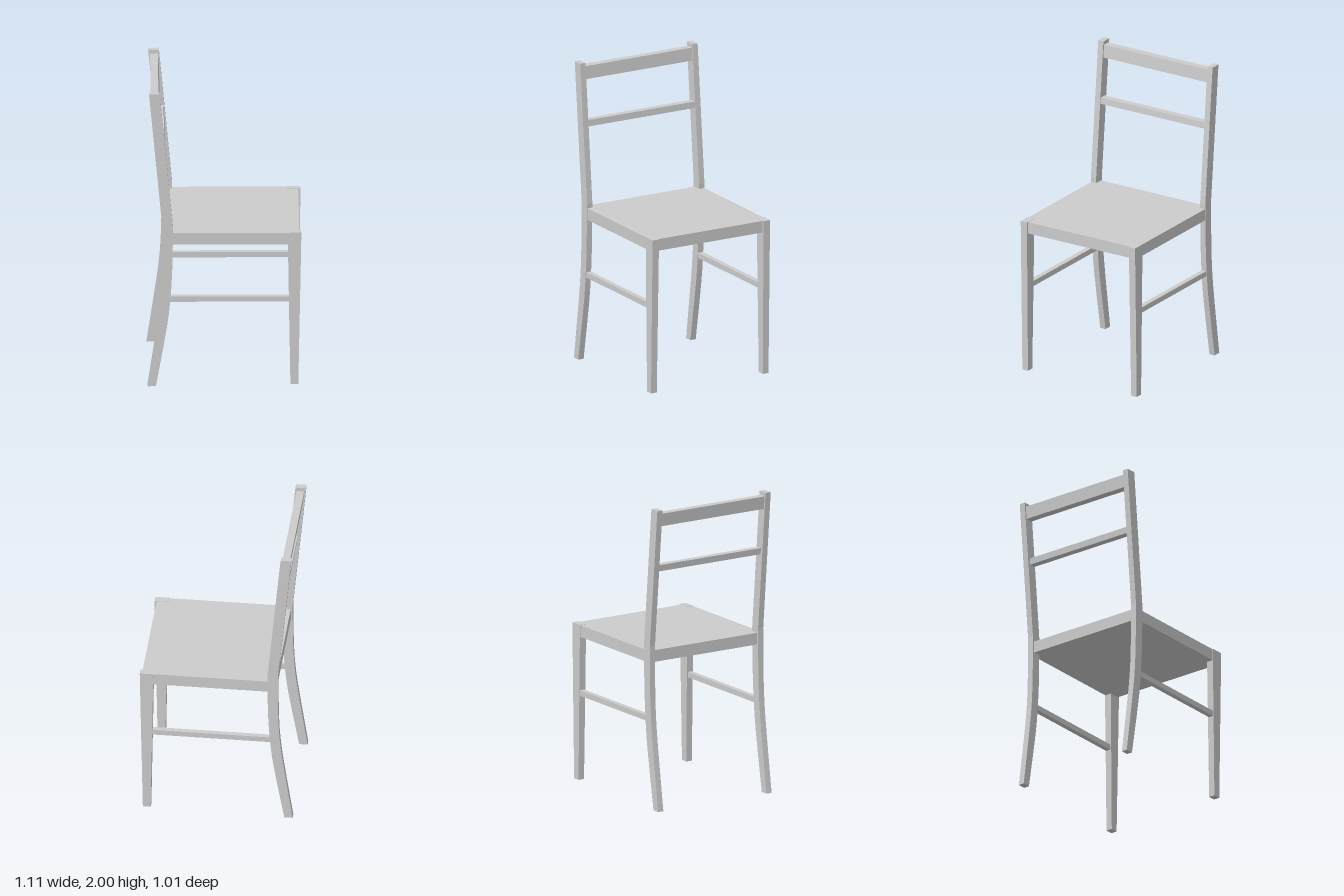
import * as THREE from 'three';

const material = new THREE.MeshStandardMaterial({ color: 0xcccccc, flatShading: true });

// Chair space: +x is the chair's front, z runs across its width.
const HALF = 0.44; // outer half width
const POST = 0.04; // post thickness across the chair

function add(group, name, geometry) {
  const mesh = new THREE.Mesh(geometry, material);
  mesh.name = name;
  group.add(mesh);
  return mesh;
}

// Box given by its limits
function box(x0, x1, y0, y1, z0, z1) {
  return new THREE.BoxGeometry(x1 - x0, y1 - y0, z1 - z0)
    .translate((x0 + x1) / 2, (y0 + y1) / 2, (z0 + z1) / 2);
}

// Rear post: side profile with a curved lower leg and a straight raked top
function postGeometry() {
  const back = [[-0.494, 0], [-0.434, 0.4], [-0.41, 0.6], [-0.4, 0.8], [-0.397, 1.08]];
  const front = [[-0.439, 0], [-0.369, 0.4], [-0.346, 0.6], [-0.334, 0.8], [-0.329, 1.08]];
  const curve = (pts) => new THREE.SplineCurve(pts.map((p) => new THREE.Vector2(...p))).getPoints(12);
  const outline = [
    ...curve(front),
    new THREE.Vector2(-0.415, 2),
    new THREE.Vector2(-0.484, 2),
    ...curve(back).reverse(),
  ];
  return new THREE.ExtrudeGeometry(new THREE.Shape(outline), { depth: POST, bevelEnabled: false });
}

// Front leg: tapers to the foot, outer face stays upright
function frontLegGeometry(side) {
  const geometry = box(0.41, 0.498, 0.015, 1.05, side > 0 ? 0.392 : -HALF, side > 0 ? HALF : -0.392);
  const p = geometry.attributes.position;
  for (let i = 0; i < p.count; i++) {
    if (p.getY(i) > 0.5) continue;
    p.setX(i, p.getX(i) > 0.45 ? 0.478 : 0.427);
    if (Math.abs(p.getZ(i)) < 0.42) p.setZ(i, side * 0.397);
  }
  geometry.computeVertexNormals();
  return geometry;
}

// Back rail that leans with the posts
function railGeometry(y0, y1, thickness, frontX) {
  const rail = box(-thickness, 0, y0, y1, -HALF + POST, HALF - POST);
  const p = rail.attributes.position;
  const mid = (y0 + y1) / 2;
  for (let i = 0; i < p.count; i++) {
    p.setX(i, p.getX(i) + frontX - (p.getY(i) - mid) * 0.094);
  }
  rail.computeVertexNormals();
  return rail;
}

export function createModel() {
  const group = new THREE.Group();
  group.name = 'chair';

  add(group, 'seat', box(-0.385, 0.484, 0.97, 1.048, -0.437, 0.437));
  add(group, 'topRail', railGeometry(1.89, 1.975, 0.05, -0.418));
  add(group, 'middleRail', railGeometry(1.58, 1.622, 0.045, -0.383));

  for (const side of [1, -1]) {
    const label = side > 0 ? 'Right' : 'Left';
    add(group, 'rearPost' + label, postGeometry()).position.z = side > 0 ? HALF - POST : -HALF;
    add(group, 'frontLeg' + label, frontLegGeometry(side));
    const inner = side * 0.402, outer = side * 0.436;
    add(group, 'sideStretcher' + label,
      box(-0.37, 0.45, 0.577, 0.613, Math.min(inner, outer), Math.max(inner, outer)));
  }

  // The chair stands slightly turned
  const chair = new THREE.Group();
  chair.name = 'turnedChair';
  group.rotation.y = -0.142;
  chair.add(group);
  return chair;
}
